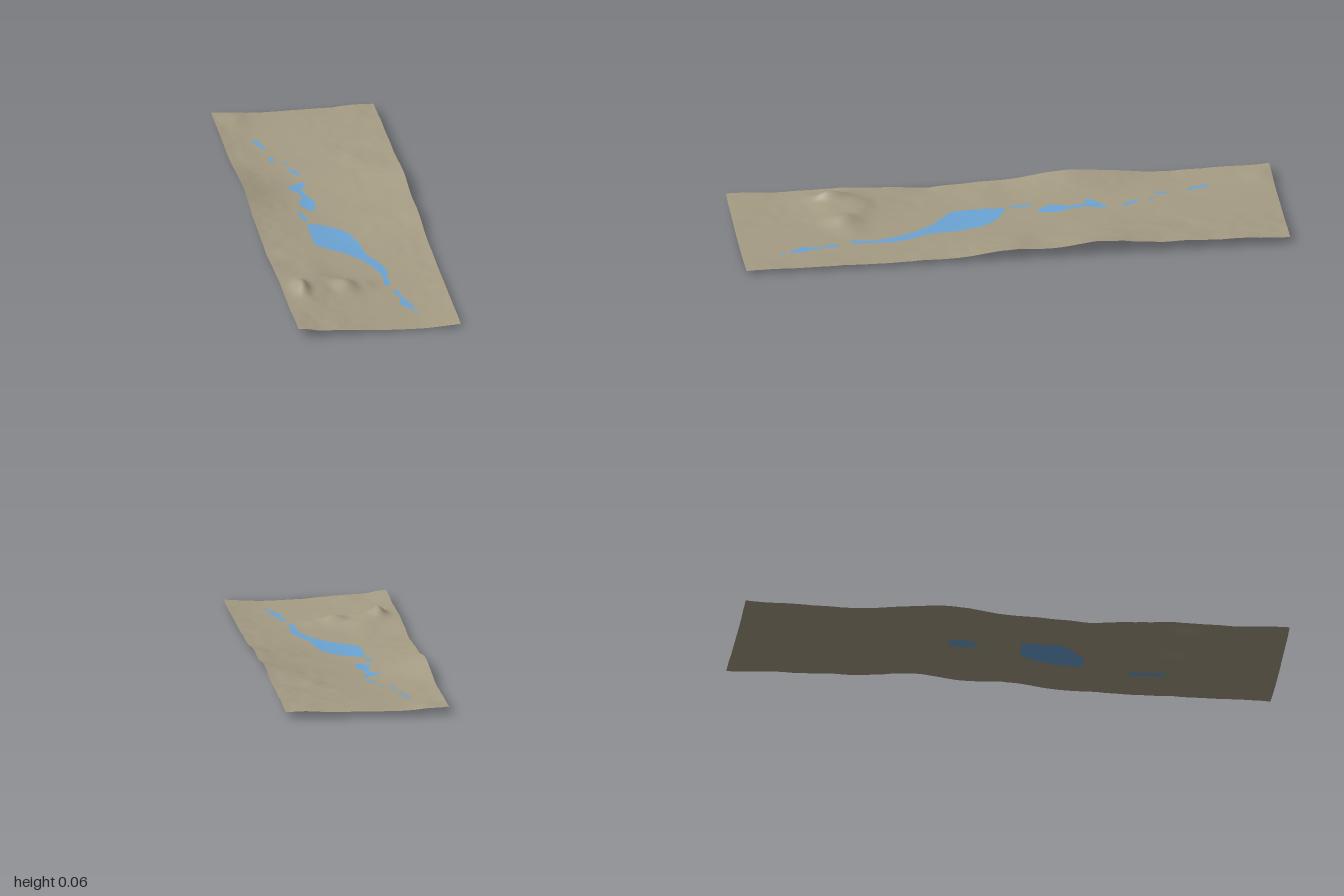
import * as THREE from 'three';
import { mergeGeometries } from 'three/addons/utils/BufferGeometryUtils.js';

// Smooth interpolation through [z, value] pairs
function along(pairs, z) {
  let i = 0;
  while (i < pairs.length - 2 && z > pairs[i + 1][0]) i++;
  const [z0, a] = pairs[i], [z1, b] = pairs[i + 1];
  const t = THREE.MathUtils.smoothstep(z, z0, z1);
  return a + (b - a) * t;
}

// Valley line, valley floor and the two outer edges of the land
const channel = [[-1, -0.1], [-0.76, -0.17], [-0.3, -0.08], [0.1, -0.03], [0.45, 0.09], [0.85, 0.15], [1, 0.16]];
const floor = [[-1, 0.019], [-0.6, 0.013], [-0.3, 0.008], [0, 0.003], [0.2, 0.001], [0.6, 0.002], [1, 0.004]];
const westEdge = [[-1, 0.03], [-0.6, 0.025], [-0.25, 0.05], [0, 0.026], [0.25, 0.013], [0.45, 0.022], [0.6, 0.03], [0.8, 0.028], [1, 0.033]];
const eastEdge = [[-1, 0.027], [-0.8, 0.032], [-0.55, 0.036], [-0.32, 0.053], [-0.1, 0.034], [0, 0.037], [0.25, 0.017], [0.6, 0.012], [1, 0.014]];

// Hills: x, z, height, x spread, z spread
const hills = [
  [-0.228, 0.63, 0.026, 0.024, 0.06],
  [-0.19, 0.58, 0.014, 0.07, 0.12],
  [-0.06, 0.6, 0.025, 0.045, 0.06],
  [-0.13, 0.53, 0.008, 0.05, 0.05],
  [0.02, 0.58, 0.006, 0.03, 0.05],
  [0.15, -0.5, 0.005, 0.04, 0.07],
  [-0.22, -0.95, 0.008, 0.04, 0.06],
];

// Seeded value noise for the small ripples
function hash(i, j) {
  const s = Math.sin(i * 127.1 + j * 311.7) * 43758.5453;
  return s - Math.floor(s);
}
function noise(x, z) {
  const i = Math.floor(x), j = Math.floor(z);
  const u = THREE.MathUtils.smoothstep(x - i, 0, 1), v = THREE.MathUtils.smoothstep(z - j, 0, 1);
  const lerp = THREE.MathUtils.lerp;
  return lerp(lerp(hash(i, j), hash(i + 1, j), u), lerp(hash(i, j + 1), hash(i + 1, j + 1), u), v) - 0.5;
}

function height(x, z) {
  const c = along(channel, z), f = along(floor, z);
  const west = x < c;
  const edge = along(west ? westEdge : eastEdge, z);
  const t = Math.abs(x - c) / Math.abs((west ? -0.3 : 0.3) - c);
  let y = f + (edge - f) * Math.pow(t, 1.7);
  for (const [hx, hz, h, sx, sz] of hills) {
    y += h * Math.exp(-(((x - hx) / sx) ** 2) - ((z - hz) / sz) ** 2);
  }
  const rough = Math.min(1, t * 1.5);
  y += rough * (0.004 * noise(x * 14, z * 11) + 0.002 * noise(x * 34 + 9, z * 28));
  return Math.max(y, 0);
}

// Water stretches as rows of [z, left x, right x]
const lake = [[0, -0.106, -0.1], [0.01, -0.106, -0.07], [0.04, -0.108, -0.02], [0.06, -0.11, 0], [0.1, -0.11, 0.03],
  [0.18, -0.108, 0.05], [0.2, -0.1, 0.055], [0.28, -0.01, 0.06], [0.32, 0.02, 0.07], [0.36, 0.045, 0.09]];
const upperPool = [[-0.37, -0.062, -0.05], [-0.35, -0.1, -0.06], [-0.31, -0.135, -0.075], [-0.29, -0.1, -0.08],
  [-0.23, -0.088, -0.063], [-0.2, -0.105, -0.05], [-0.16, -0.105, -0.05], [-0.12, -0.08, -0.06]];
const stream = [
  [[0.36, 0.045, 0.09], [0.42, 0.07, 0.11], [0.46, 0.08, 0.115], [0.5, 0.09, 0.11], [0.59, 0.083, 0.107]],
  [[0.64, 0.105, 0.125], [0.69, 0.112, 0.132]],
  [[0.7, 0.12, 0.135], [0.74, 0.12, 0.14], [0.77, 0.11, 0.155], [0.8, 0.135, 0.155], [0.82, 0.14, 0.162]],
  [[0.84, 0.15, 0.16], [0.86, 0.155, 0.17]],
  [[-0.1, -0.132, -0.115], [-0.07, -0.122, -0.105], [-0.02, -0.112, -0.1]],
  [[-0.49, -0.102, -0.085], [-0.45, -0.088, -0.065], [-0.43, -0.07, -0.058]],
  [[-0.55, -0.115, -0.1], [-0.53, -0.105, -0.09]],
  [[-0.61, -0.15, -0.138], [-0.56, -0.155, -0.138]],
  [[-0.76, -0.19, -0.17], [-0.72, -0.18, -0.162], [-0.68, -0.165, -0.145]],
];

// Flat strip fitted between the two banks, laid on the land
function waterStrip(rows, lift) {
  const pieces = [];
  for (let r = 0; r < rows.length - 1; r++) {
    const [z0, l0, r0] = rows[r], [z1, l1, r1] = rows[r + 1];
    const g = new THREE.PlaneGeometry(1, 1, 10, 4).rotateX(-Math.PI / 2);
    const p = g.attributes.position;
    for (let i = 0; i < p.count; i++) {
      const u = p.getX(i) + 0.5, v = p.getZ(i) + 0.5;
      const left = l0 + (l1 - l0) * v, right = r0 + (r1 - r0) * v;
      const x = left + (right - left) * u, z = z0 + (z1 - z0) * v;
      p.setXYZ(i, x, height(x, z) + lift, z);
    }
    pieces.push(g);
  }
  const g = mergeGeometries(pieces);
  g.computeVertexNormals();
  return g;
}

export function createModel() {
  const model = new THREE.Group();
  const land = new THREE.MeshStandardMaterial({ color: 0xa59c84, side: THREE.DoubleSide });
  land.name = 'dryLand';
  const blue = new THREE.MeshStandardMaterial({ color: 0x6ca4d4, side: THREE.DoubleSide });
  blue.name = 'waterBlue';

  const add = (name, geometry, material) => {
    const mesh = new THREE.Mesh(geometry, material);
    mesh.name = name;
    model.add(mesh);
  };

  // Land sheet
  const ground = new THREE.PlaneGeometry(0.6, 2, 72, 220).rotateX(-Math.PI / 2);
  const p = ground.attributes.position;
  for (let i = 0; i < p.count; i++) p.setY(i, height(p.getX(i), p.getZ(i)));
  ground.computeVertexNormals();
  add('terrain', ground, land);

  // Water on the land
  add('lake', waterStrip(lake, 0.0012), blue);
  add('upperPool', waterStrip(upperPool, 0.0012), blue);
  stream.forEach((rows, i) => add('stream' + (i + 1), waterStrip(rows, 0.0012), blue));

  // Deep water showing through the underside
  add('lakeBed', waterStrip(lake.slice(2, 8), -0.0008), blue);
  add('poolBed', waterStrip(upperPool.slice(4), -0.0008), blue);
  add('streamBed', waterStrip(stream[0].slice(2), -0.0008), blue);
  return model;
}
